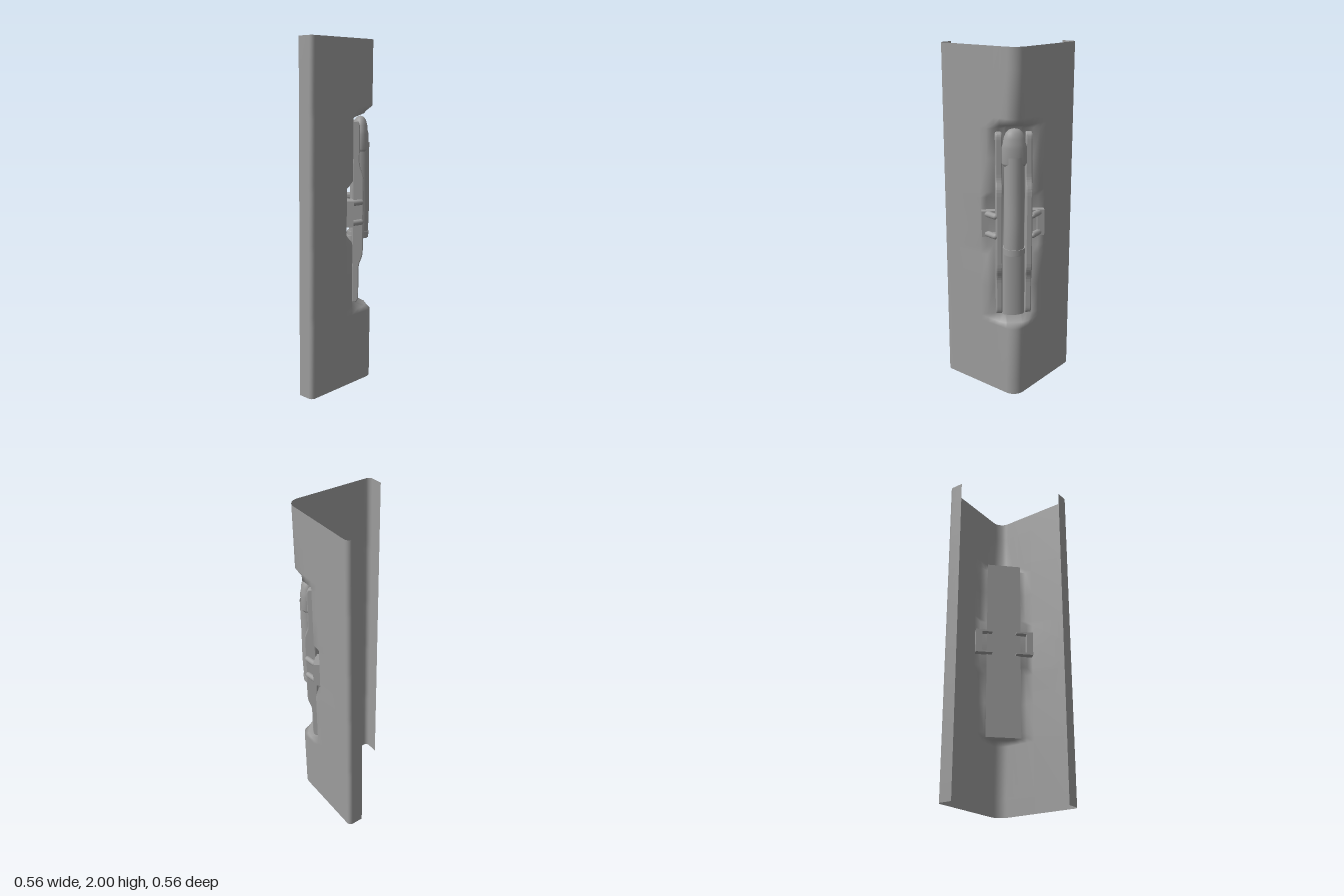
import * as THREE from 'three';

const steel = new THREE.MeshStandardMaterial({ color: 0x9c9c9c, side: THREE.DoubleSide });
const WALL = 0.256, END = 0.283, S = Math.SQRT1_2;

function add(parent, name, geometry, x = 0, y = 0, z = 0) {
  const mesh = new THREE.Mesh(geometry, steel);
  mesh.name = name;
  mesh.position.set(x, y, z);
  parent.add(mesh);
  return mesh;
}

// Half of the channel section, from the rounded corner out to the lip, as [x, z]
function halfSection() {
  const pts = [], R = 0.07, r = 0.025;
  for (let i = 0; i <= 5; i++) {
    const a = Math.PI / 4 * (1 - i / 5);
    pts.push([WALL - R + R * Math.cos(a), -WALL + R - R * Math.sin(a)]);
  }
  for (const z of [-0.14, -0.1, -0.05, 0, 0.2, 0.24]) pts.push([WALL, z]);
  for (let i = 0; i <= 4; i++) {
    const a = Math.PI / 2 * i / 4;
    pts.push([WALL - r + r * Math.cos(a), END - r + r * Math.sin(a)]);
  }
  pts.push([0.16, END]);
  return pts;
}

// Folded sheet: the same section at every height, its corner pressed in to a flat floor
function channelGeometry() {
  const half = halfSection();
  const section = [...half.slice(1).reverse().map(([x, z]) => [-z, -x]), ...half];
  // [height, greatest distance of the sheet along the diagonal]
  const rows = [[0, 1], [0.1, 1], [0.42, 1], [0.45, 0.3], [0.475, 0.216], [0.65, 0.216], [0.84, 0.216],
    [0.88, 0.18], [1.03, 0.18], [1.17, 0.18], [1.21, 0.216], [1.4, 0.216], [1.565, 0.216],
    [1.59, 0.28], [1.63, 1], [1.88, 1], [2, 1]];
  const pos = [], idx = [], n = section.length;
  for (const [y, limit] of rows) {
    for (const [x, z] of section) {
      const push = Math.max(0, (x - z) * S - limit) * S;
      pos.push(x - push, y, z + push);
    }
  }
  for (let j = 0; j < rows.length - 1; j++) {
    for (let i = 0; i < n - 1; i++) {
      const a = j * n + i, b = a + 1, c = a + n, d = c + 1;
      idx.push(a, c, b, b, c, d);
    }
  }
  const g = new THREE.BufferGeometry();
  g.setAttribute('position', new THREE.Float32BufferAttribute(pos, 3));
  g.setIndex(idx);
  g.computeVertexNormals();
  return g;
}

// Side rail: outline in depth and height, thickened sideways
function railGeometry() {
  const s = new THREE.Shape();
  s.moveTo(0.222, 0.49);
  s.lineTo(0.235, 0.49);
  s.quadraticCurveTo(0.25, 0.49, 0.25, 0.53);
  s.lineTo(0.25, 0.68);
  s.bezierCurveTo(0.25, 0.74, 0.274, 0.74, 0.274, 0.8);
  s.lineTo(0.274, 1.2);
  s.bezierCurveTo(0.274, 1.26, 0.25, 1.26, 0.25, 1.32);
  s.lineTo(0.25, 1.5);
  s.quadraticCurveTo(0.25, 1.54, 0.235, 1.54);
  s.lineTo(0.222, 1.54);
  const g = new THREE.ExtrudeGeometry(s, { depth: 0.024, curveSegments: 8,
    bevelEnabled: true, bevelThickness: 0.006, bevelSize: 0.006, bevelSegments: 2 });
  g.translate(0, 0, -0.012);
  g.rotateY(-Math.PI / 2);
  return g;
}

// Clip gripping the wall: a web, two flanges and two rounded prongs
function createClip() {
  const clip = new THREE.Group();
  clip.name = 'clip';
  add(clip, 'web', new THREE.BoxGeometry(0.039, 0.15, 0.082), 0.1575, 1.025, 0.179);
  for (const side of [-1, 1]) {
    add(clip, 'flange', new THREE.BoxGeometry(0.064, 0.012, 0.082), 0.106, 1.025 + side * 0.069, 0.179);
    const y = 1.025 + side * 0.058;
    const path = new THREE.LineCurve3(new THREE.Vector3(0.155, y, 0.2), new THREE.Vector3(0.105, y, 0.264));
    add(clip, 'prong', new THREE.TubeGeometry(path, 1, 0.017, 12));
    add(clip, 'prongTip', new THREE.SphereGeometry(0.017, 12, 8), 0.105, y, 0.264);
  }
  return clip;
}

export function createModel() {
  const model = new THREE.Group();
  model.name = 'channelWithLatch';
  add(model, 'channel', channelGeometry());

  // Latch frame: local z points out through the corner
  const latch = new THREE.Group();
  latch.name = 'latch';
  latch.rotation.y = Math.PI * 0.75;
  model.add(latch);

  add(latch, 'backPanel', new THREE.PlaneGeometry(0.21, 1.15).rotateY(Math.PI), 0, 1.005, 0.173);

  for (const side of [-1, 1]) {
    add(latch, 'rail', railGeometry(), side * 0.083, 0, 0);
    const clip = createClip();
    clip.scale.x = side;
    latch.add(clip);
  }

  // Lever: round grip, domed head and a collar at its foot
  const grip = new THREE.CatmullRomCurve3([[0.86, 0.258], [1.0, 0.264], [1.2, 0.262], [1.42, 0.262]]
    .map(([y, z]) => new THREE.Vector3(0, y, z)));
  add(latch, 'grip', new THREE.TubeGeometry(grip, 20, 0.056, 20));
  const profile = [[0, 1.37], [0.06, 1.37], [0.069, 1.385], [0.069, 1.47], [0.062, 1.49], [0.058, 1.52],
    [0.046, 1.55], [0.027, 1.567], [0, 1.573]].map(([r, y]) => new THREE.Vector2(r, y));
  add(latch, 'head', new THREE.LatheGeometry(profile, 24), 0, 0, 0.264).scale.z = 0.7;
  add(latch, 'collar', new THREE.CylinderGeometry(0.063, 0.063, 0.035, 24), 0, 0.88, 0.256);

  // Flattened bed that continues the lever downwards
  add(latch, 'bed', new THREE.CylinderGeometry(0.066, 0.066, 0.4, 24), 0, 0.675, 0.218).scale.z = 0.55;
  return model;
}
